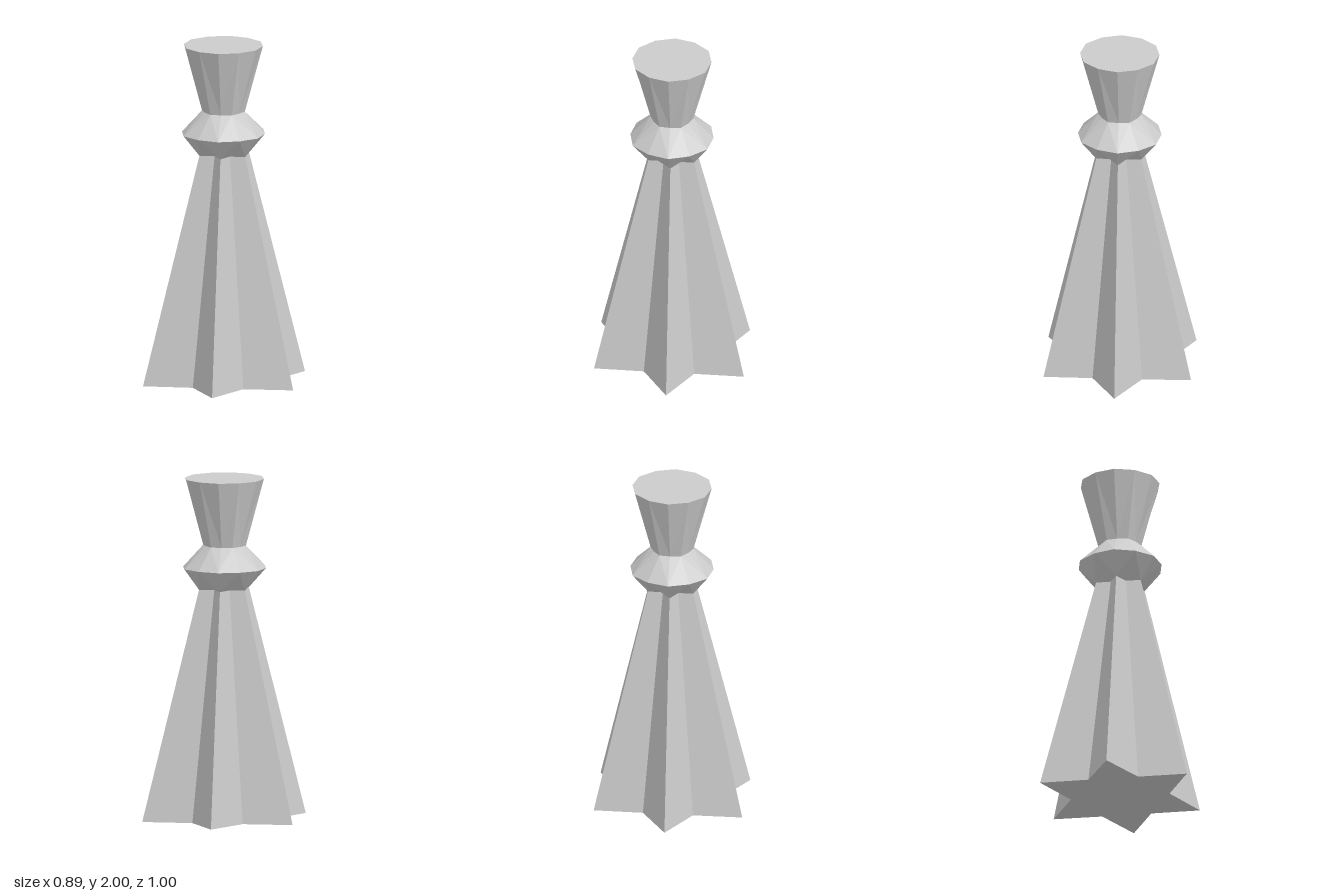
import * as THREE from 'three';

const SIDES = 12;

// Hand-cut star outline at the foot: [x, z], tips and valleys alternating, clockwise from the back
const STAR = [
  [0, -0.5], [0.147, -0.255], [0.443, -0.255], [0.293, -0.005], [0.437, 0.243], [0.145, 0.25],
  [-0.007, 0.5], [-0.152, 0.252], [-0.445, 0.25], [-0.3, 0], [-0.443, -0.247], [-0.149, -0.252],
];

const starRing = (y, scale) => STAR.map(([x, z]) => new THREE.Vector3(x * scale, y, z * scale));

// Twelve-sided ring whose corners line up with the star's tips and valleys
function roundRing(y, tipRadius, valleyRadius) {
  return STAR.map((_, i) => {
    const a = (i / SIDES) * Math.PI * 2;
    const r = i % 2 ? valleyRadius : tipRadius;
    return new THREE.Vector3(r * Math.sin(a) - 0.004, y, -r * Math.cos(a));
  });
}

// Joins rings from bottom to top with flat facets, with optional end caps
function loft(name, rings, { bottom = false, top = false } = {}) {
  const points = [];
  const cap = (ring, up) => {
    const centre = new THREE.Vector3(0, ring[0].y, 0);
    ring.forEach((p, i) => {
      const q = ring[(i + 1) % SIDES];
      points.push(centre, ...(up ? [q, p] : [p, q]));
    });
  };
  for (let k = 0; k < rings.length - 1; k++) {
    for (let i = 0; i < SIDES; i++) {
      const j = (i + 1) % SIDES;
      const a = rings[k][i], b = rings[k][j], c = rings[k + 1][j], d = rings[k + 1][i];
      // mirror the diagonal on every other facet so both sides of a tip match
      if (i % 2) points.push(b, a, d, b, d, c);
      else points.push(b, a, c, a, d, c);
    }
  }
  if (bottom) cap(rings[0], false);
  if (top) cap(rings[rings.length - 1], true);

  const geometry = new THREE.BufferGeometry().setFromPoints(points);
  geometry.computeVertexNormals();
  const mesh = new THREE.Mesh(geometry, new THREE.MeshStandardMaterial({ color: 0xcccccc, flatShading: true }));
  mesh.name = name;
  return mesh;
}

export function createModel() {
  const group = new THREE.Group();
  group.name = 'gamePiece';

  const shoulder = starRing(1.35, 0.305);
  const neck = roundRing(1.605, 0.117, 0.126);

  group.add(
    // star-shaped tapering skirt
    loft('body', [starRing(0, 1), shoulder], { bottom: true }),
    // collar, turning the star into a twelve-sided round
    loft('collar', [shoulder, roundRing(1.475, 0.252, 0.244), neck]),
    // flared head with a flat top
    loft('head', [neck, roundRing(2, 0.236, 0.232)], { top: true }),
  );
  return group;
}
